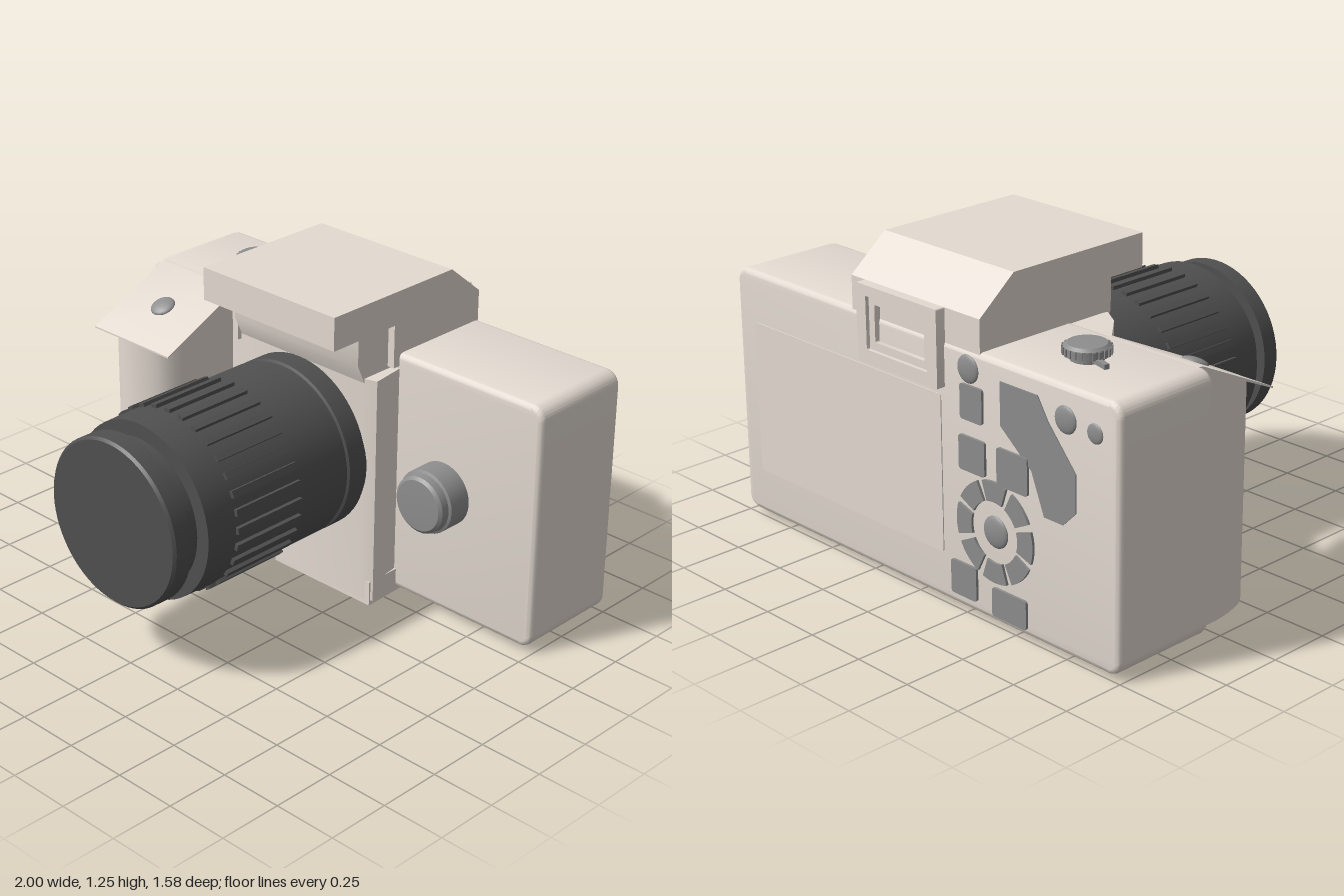
import * as THREE from 'three';
import { toCreasedNormals } from 'three/addons/utils/BufferGeometryUtils.js';

const paint = (color) => new THREE.MeshStandardMaterial({ color, side: THREE.DoubleSide });
const BACK = -0.755;

const polygon = (pts) => new THREE.Shape(pts.map(([x, y]) => new THREE.Vector2(x, y)));

function roundedRect(x0, y0, x1, y1, r, Type = THREE.Shape) {
  const s = new Type();
  s.moveTo(x0 + r, y0);
  s.lineTo(x1 - r, y0).absarc(x1 - r, y0 + r, r, -Math.PI / 2, 0);
  s.lineTo(x1, y1 - r).absarc(x1 - r, y1 - r, r, 0, Math.PI / 2);
  s.lineTo(x0 + r, y1).absarc(x0 + r, y1 - r, r, Math.PI / 2, Math.PI);
  s.lineTo(x0, y0 + r).absarc(x0 + r, y0 + r, r, Math.PI, Math.PI * 1.5);
  return s;
}

// Extrusion from z0 to z1, the bevel lying inside that range
function extrudeZ(shape, z0, z1, bevel = 0) {
  const g = new THREE.ExtrudeGeometry(shape, {
    depth: z1 - z0 - 2 * bevel, bevelEnabled: bevel > 0, bevelSize: bevel,
    bevelThickness: bevel, bevelSegments: 3, curveSegments: 8,
  });
  return toCreasedNormals(g.translate(0, 0, z0 + bevel), 0.6);
}

// Plan outline of [x, z] points raised from y0 to y1
const extrudeY = (pts, y0, y1) =>
  extrudeZ(polygon(pts.map(([x, z]) => [x, -z])), y0, y1).rotateX(-Math.PI / 2);

// Side profile of [z, y] points spread from x0 to x1
const extrudeX = (pts, x0, x1, bevel = 0) =>
  extrudeZ(polygon(pts), -x1, -x0, bevel).rotateY(-Math.PI / 2);

// Turned part along +z from [radius, z] points
const turned = (pts, n = 48) => toCreasedNormals(
  new THREE.LatheGeometry(pts.map(([r, z]) => new THREE.Vector2(r, z)), n).rotateX(Math.PI / 2), 0.6);

export function createModel() {
  const model = new THREE.Group();
  const shell = paint(0xe4dbd2), dark = paint(0x505050), grey = paint(0x8e8e8e);
  const add = (name, geometry, material, parent = model) => {
    const mesh = new THREE.Mesh(geometry, material);
    mesh.name = name;
    parent.add(mesh);
    return mesh;
  };
  const group = (name) => {
    const g = new THREE.Group();
    g.name = name;
    model.add(g);
    return g;
  };

  // Main body, rear panel and tapered underside
  add('body', extrudeZ(roundedRect(-0.98, 0.04, 0.98, 0.98, 0.035), BACK, -0.31, 0.02), shell);
  add('rearPanel', extrudeZ(roundedRect(-0.14, 0.2, 0.9, 0.8, 0.01), BACK - 0.004, -0.74), shell);
  add('basePlate', extrudeX([[-0.16, 0], [-0.16, 0.1], [-0.72, 0.1], [-0.74, 0.02]], -0.16, 0.34), shell);

  // Front block carrying the lens, with a slanted web towards the grip
  add('lensMount', extrudeY([[-0.53, -0.32], [-0.525, -0.31], [-0.42, -0.19], [-0.35, -0.155],
    [0.3, -0.155], [0.35, -0.17], [0.33, -0.32]], 0.02, 0.94), shell);
  add('mountWeb', extrudeY([[-0.53, -0.32], [-0.525, -0.31], [-0.42, -0.19], [-0.34, -0.14],
    [-0.3, -0.32]], 0.9, 0.997), shell);

  // Viewfinder housing: neck below, overhanging hood above
  add('viewfinderNeck', extrudeX([[-0.165, 0.9], [-0.12, 1.0], [-0.12, 1.14], [-0.4, 1.14],
    [-0.4, 0.9]], -0.335, 0.3), shell);
  add('viewfinderHousing', extrudeX([[-0.28, 0.95], [-0.28, 1.12], [0.04, 1.12], [0.04, 1.25],
    [-0.59, 1.25], [-0.75, 1.12], [-0.75, 0.95]], -0.335, 0.33), shell);

  // Eyepiece frame with a stepped opening
  const eyepiece = group('eyepiece');
  const frame = roundedRect(-0.16, 0.83, 0.26, 1.12, 0.005);
  frame.holes.push(roundedRect(-0.11, 0.88, 0.21, 1.08, 0.005, THREE.Path));
  add('eyepieceFrame', extrudeZ(frame, -0.79, -0.72), shell, eyepiece);
  const inner = roundedRect(-0.11, 0.88, 0.21, 1.08, 0.005);
  inner.holes.push(roundedRect(-0.08, 0.91, 0.18, 1.05, 0.005, THREE.Path));
  add('eyepieceRim', extrudeZ(inner, -0.775, -0.72), shell, eyepiece);

  // Hand grip: rounded plan, its top cut to the slope of the cover
  const slope = (z) => 1 - 0.47 * (z + 0.31);
  const curve = new THREE.CatmullRomCurve3([[-0.94, -0.33], [-0.935, -0.16], [-0.89, -0.02], [-0.8, 0.045],
    [-0.7, 0.05], [-0.6, 0], [-0.545, -0.13], [-0.525, -0.33]].map(([x, z]) => new THREE.Vector3(x, 0, z)));
  const gripGeo = extrudeY(curve.getPoints(28).map((p) => [p.x, p.z]), 0.02, 1);
  const pos = gripGeo.attributes.position;
  for (let i = 0; i < pos.count; i++) {
    if (pos.getY(i) > 0.5) pos.setY(i, Math.min(0.99, slope(pos.getZ(i)) - 0.005));
  }
  add('grip', gripGeo, shell);
  add('gripCover', extrudeX([[-0.33, 0.985], [-0.31, 0.985], [0.055, 0.822], [0.055, slope(0.055)],
    [-0.31, 1], [-0.33, 1]], -0.945, -0.525), shell);
  const shutter = add('shutterButton', new THREE.SphereGeometry(0.05, 24, 12), grey);
  shutter.scale.y = 0.35;
  shutter.position.set(-0.75, slope(-0.13), -0.13);
  shutter.rotation.x = Math.atan(0.47);

  // Lens barrel, ribbed grip ring and front cap
  const lens = group('lens');
  lens.position.set(-0.03, 0.58, 0);
  add('lensBarrel', turned([[0, -0.17], [0.345, -0.17], [0.345, -0.07], [0.335, -0.065], [0.335, -0.045],
    [0.345, -0.04], [0.345, 0.53], [0.342, 0.645], [0.285, 0.645], [0.285, 0.71], [0.3, 0.71]], 64), dark, lens);
  add('lensCap', turned([[0, 0.71], [0.325, 0.71], [0.325, 0.78], [0.315, 0.79], [0, 0.79]], 64), dark, lens);
  const RIBS = 32;
  for (let i = 0; i < RIBS; i++) {
    const a = (i / RIBS) * Math.PI * 2;
    const rib = add('focusRib', new THREE.BoxGeometry(0.03, 0.026, 0.32), dark, lens);
    rib.position.set(Math.cos(a) * 0.344, Math.sin(a) * 0.344, 0.355);
    rib.rotation.z = a;
  }

  // Round knob beside the lens
  const knob = add('frontKnob', turned([[0.125, -0.32], [0.125, -0.215], [0.115, -0.21], [0.112, -0.18],
    [0.1, -0.17], [0, -0.165]], 32), grey);
  knob.position.set(0.56, 0.51, 0);

  // Top dial with a knurled edge and a small lever
  const dial = group('topDial');
  dial.position.set(-0.625, 0, -0.53);
  add('dialStem', new THREE.CylinderGeometry(0.06, 0.06, 0.05, 24), grey, dial).position.y = 1.01;
  add('dialCap', toCreasedNormals(new THREE.LatheGeometry([[0, 1.02], [0.082, 1.02], [0.082, 1.05],
    [0.07, 1.06], [0, 1.062]].map(([r, y]) => new THREE.Vector2(r, y)), 32), 0.6), grey, dial);
  for (let i = 0; i < 24; i++) {
    const a = (i / 24) * Math.PI * 2;
    const tooth = add('dialTooth', new THREE.BoxGeometry(0.01, 0.028, 0.01), grey, dial);
    tooth.position.set(Math.cos(a) * 0.082, 1.036, Math.sin(a) * 0.082);
    tooth.rotation.y = -a;
  }
  const lever = add('dialLever', new THREE.BoxGeometry(0.1, 0.018, 0.02), grey, dial);
  lever.position.set(-0.08, 1.015, -0.025);
  lever.rotation.y = -0.25;

  // Rear controls
  const controls = group('rearControls');
  add('thumbRest', extrudeZ(polygon([[-0.44, 0.93], [-0.62, 0.93], [-0.67, 0.85], [-0.8, 0.7], [-0.8, 0.56],
    [-0.74, 0.5], [-0.65, 0.5], [-0.59, 0.65], [-0.44, 0.77]]), BACK - 0.004, -0.74), grey, controls);
  for (const [x, y, r] of [[-0.28, 0.93, 0.052], [-0.75, 0.88, 0.05], [-0.885, 0.87, 0.036], [-0.41, 0.365, 0.06]]) {
    const b = add('roundButton', new THREE.SphereGeometry(r, 24, 12), grey, controls);
    b.scale.z = 0.25;
    b.position.set(x, y, BACK);
  }
  for (const [x, y, w, h] of [[-0.3, 0.81, 0.11, 0.13], [-0.3, 0.62, 0.13, 0.13], [-0.5, 0.62, 0.15, 0.14],
    [-0.25, 0.13, 0.13, 0.13], [-0.48, 0.1, 0.17, 0.11]]) {
    const s = roundedRect(x - w / 2, y - h / 2, x + w / 2, y + h / 2, 0.012);
    add('squareButton', extrudeZ(s, BACK - 0.01, -0.74), grey, controls);
  }
  // Ring of eight pad segments
  for (let i = 0; i < 8; i++) {
    const a = (i * Math.PI) / 4 - 0.32, b = a + 0.64;
    const s = new THREE.Shape();
    s.absarc(-0.41, 0.365, 0.19, a, b, false);
    s.absarc(-0.41, 0.365, 0.115, b, a, true);
    add('padSegment', extrudeZ(s, BACK - 0.01, -0.74), grey, controls);
  }
  return model;
}
